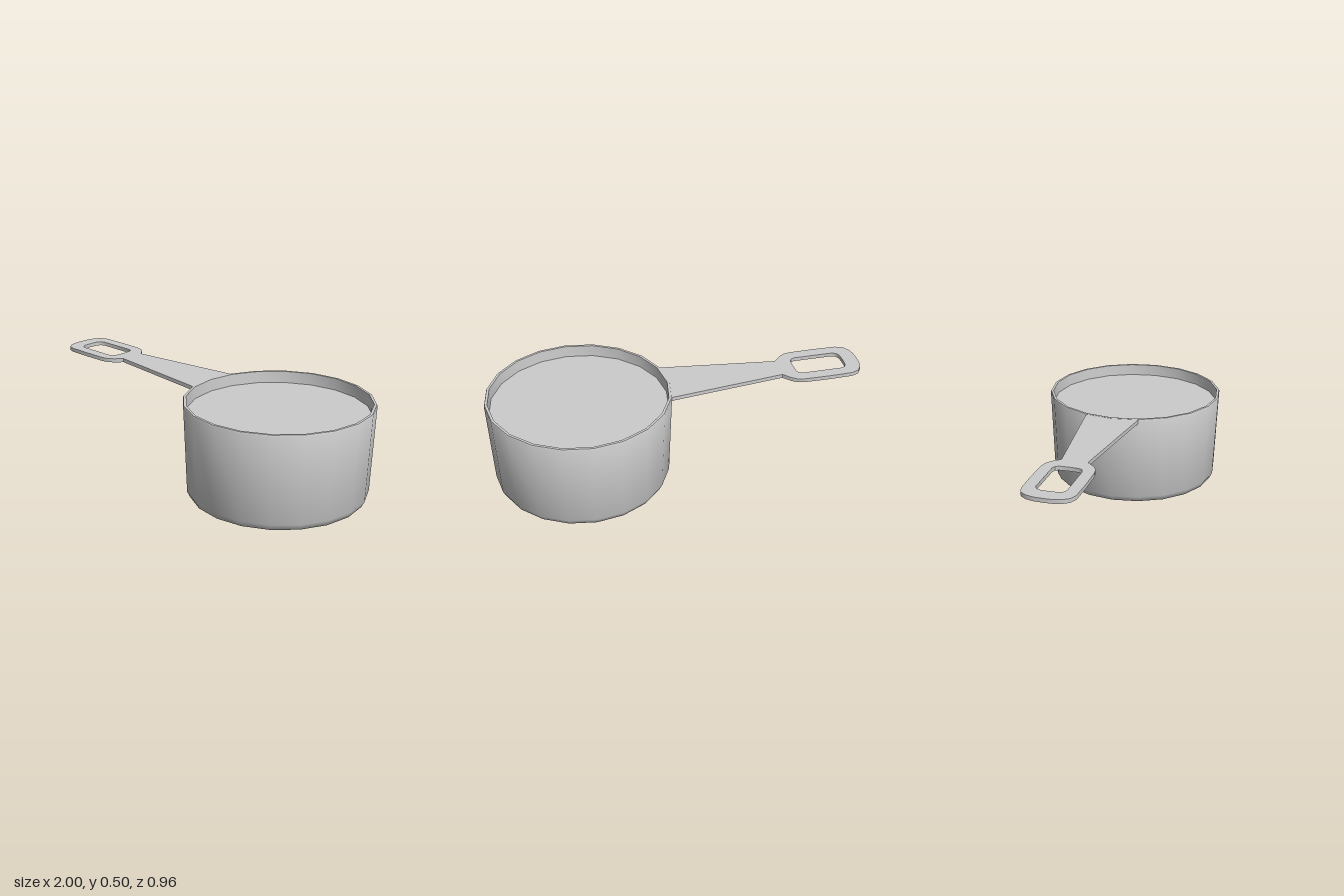
import * as THREE from 'three';
import { toCreasedNormals } from 'three/addons/utils/BufferGeometryUtils.js';

const SIDES = 20;
const CUP_X = 0.515;
const material = new THREE.MeshStandardMaterial({ color: 0xcccccc });

function addPart(group, name, geometry) {
  const mesh = new THREE.Mesh(toCreasedNormals(geometry, 0.72), material);
  mesh.name = name;
  group.add(mesh);
  return mesh;
}

const lathe = (points) =>
  new THREE.LatheGeometry(points.map(([r, y]) => new THREE.Vector2(r, y)), SIDES);

// Mirrors half an outline across the long axis of the handle
function mirrored(half) {
  const other = half.filter(([, z]) => z !== 0).map(([x, z]) => [x, -z]).reverse();
  return [...half, ...other].map(([x, z]) => new THREE.Vector2(x, z));
}

export function createModel() {
  const model = new THREE.Group();
  model.name = 'measuringCup';

  // Tapered cup: rounded base, outer wall, thin rim and inner wall
  addPart(model, 'cup', lathe([
    [0, 0], [0.42, 0], [0.45, 0.014], [0.465, 0.045],
    [0.482, 0.498], [0.479, 0.505], [0.466, 0.505], [0.462, 0.43],
  ])).position.x = CUP_X;

  // Level contents just below the rim
  addPart(model, 'contents', lathe([[0.464, 0.443], [0, 0.443]])).position.x = CUP_X;

  // Flat handle that tapers into a rounded hanging loop
  const outline = new THREE.Shape(mirrored([
    [0.045, 0], [0.062, 0.145], [-0.56, 0.067], [-0.595, 0.105], [-0.625, 0.126],
    [-0.665, 0.134], [-0.80, 0.136], [-0.925, 0.133], [-0.965, 0.118],
    [-0.988, 0.085], [-0.998, 0.045], [-1, 0],
  ]));
  outline.holes.push(new THREE.Path(mirrored([
    [-0.64, 0], [-0.642, 0.05], [-0.652, 0.068], [-0.675, 0.075],
    [-0.885, 0.075], [-0.907, 0.066], [-0.918, 0.045], [-0.92, 0],
  ])));
  const handle = new THREE.ExtrudeGeometry(outline, { depth: 0.021, bevelEnabled: false });
  handle.rotateX(-Math.PI / 2);
  addPart(model, 'handle', handle).position.y = 0.483;

  return model;
}
